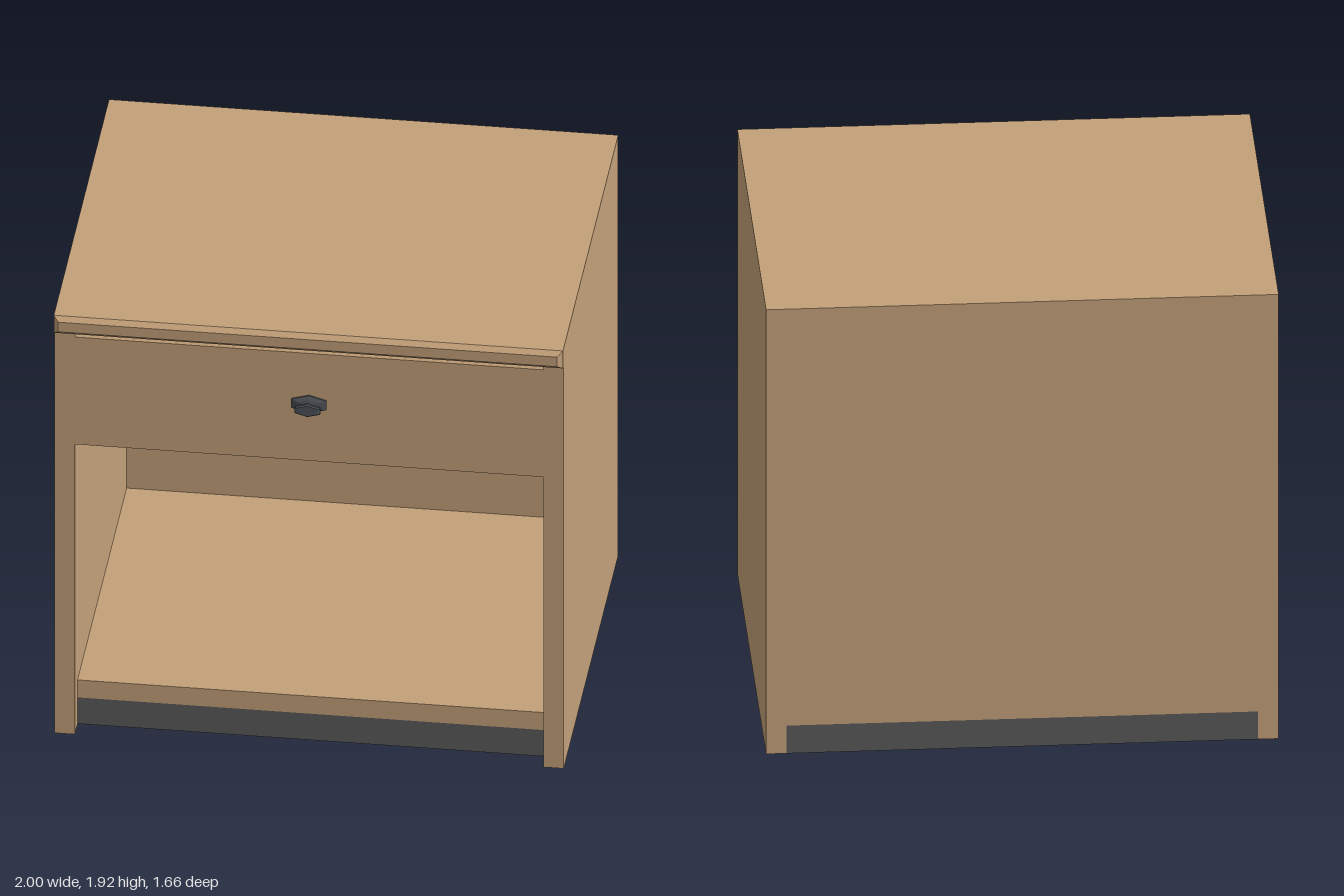
import * as THREE from 'three';

const mat = (name, color) => {
  const m = new THREE.MeshStandardMaterial({ color, flatShading: true });
  m.name = name;
  return m;
};

export function createModel() {
  const group = new THREE.Group();
  const wood = mat('wood', 0xc3a079);
  const plinthGrey = mat('plinthGrey', 0x5a5a5a);
  const knobGrey = mat('knobGrey', 0x4b5055);

  const add = (name, geometry, material) => {
    const mesh = new THREE.Mesh(geometry, material);
    mesh.name = name;
    group.add(mesh);
    return mesh;
  };
  // Box given by its lower and upper limits on each axis
  const box = (name, [x0, x1], [y0, y1], [z0, z1], material = wood) => {
    const g = new THREE.BoxGeometry(x1 - x0, y1 - y0, z1 - z0);
    g.translate((x0 + x1) / 2, (y0 + y1) / 2, (z0 + z1) / 2);
    return add(name, g, material);
  };

  const inner = 0.92, back = -0.83, front = 0.77;

  // Carcass
  box('leftSide', [inner, 1], [0, 1.84], [back, front]);
  box('rightSide', [-1, -inner], [0, 1.84], [back, front]);
  box('backPanel', [-inner, inner], [0.12, 1.84], [back, -0.75]);
  box('bottomShelf', [-inner, inner], [0.12, 0.2], [-0.75, 0.69]);
  box('plinth', [-inner, inner], [0, 0.12], [back, 0.69], plinthGrey);

  // Top board with a chamfered front lip
  box('topBoard', [-1, 1], [1.84, 1.92], [back, 0.79]);
  const lip = new THREE.BoxGeometry(2, 0.08, 0.02);
  const p = lip.attributes.position;
  for (let i = 0; i < p.count; i++) {
    if (p.getZ(i) > 0) {
      p.setX(i, Math.sign(p.getX(i)) * 0.98);
      p.setY(i, Math.sign(p.getY(i)) * 0.022);
    }
  }
  lip.computeVertexNormals();
  lip.translate(0, 1.88, 0.8);
  add('topLip', lip, wood);

  // Drawer: side profile (z, y) with an eased upper edge, extruded across
  const profile = new THREE.Shape([
    [-0.75, 1.325], [front, 1.325], [front, 1.815], [front - 0.02, 1.835], [-0.75, 1.835],
  ].map(([z, y]) => new THREE.Vector2(z, y)));
  const drawer = new THREE.ExtrudeGeometry(profile, { depth: 2 * inner, bevelEnabled: false });
  drawer.translate(0, 0, -inner).rotateY(-Math.PI / 2);
  add('drawer', drawer, wood);

  // Six-sided knob, stretched sideways: rose, stem and head
  const knobProfile = [
    [0.04, 0], [0.04, 0.006], [0.026, 0.014], [0.011, 0.018], [0.011, 0.038],
    [0.029, 0.044], [0.029, 0.052], [0.024, 0.058], [0, 0.058],
  ].map(([r, y]) => new THREE.Vector2(r, y));
  const knob = new THREE.LatheGeometry(knobProfile, 6);
  knob.rotateX(Math.PI / 2).scale(2, 1, 1).translate(0, 1.585, front);
  add('knob', knob, knobGrey);

  return group;
}
